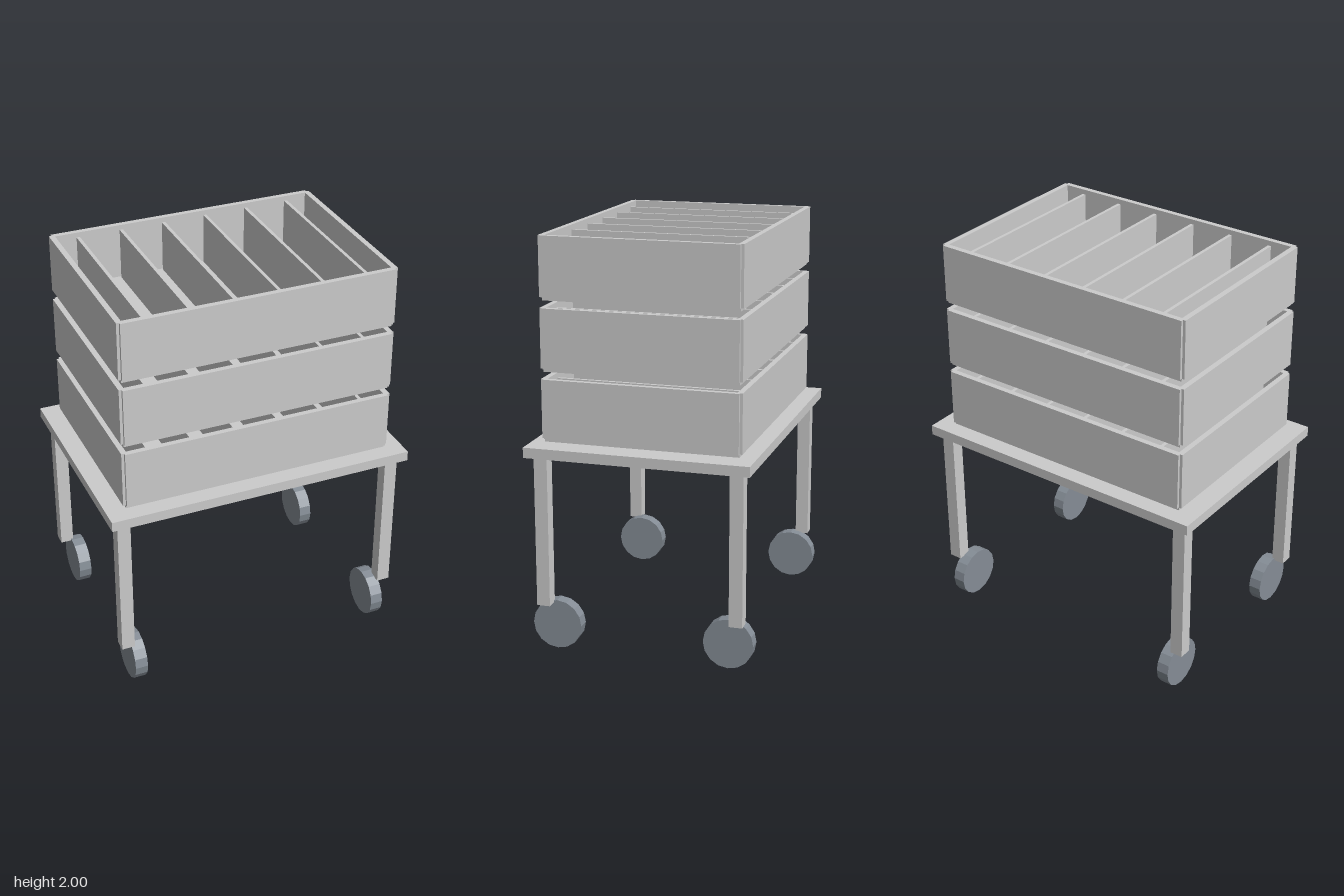
import * as THREE from 'three';

const grey = new THREE.MeshStandardMaterial({ color: 0xcccccc });
const wheelGrey = new THREE.MeshStandardMaterial({ color: 0x858d96, flatShading: true });

function addBox(parent, name, size, position) {
  const mesh = new THREE.Mesh(new THREE.BoxGeometry(...size), grey);
  mesh.name = name;
  mesh.position.set(...position);
  parent.add(mesh);
}

// Open tray with notched corners and upright dividers; y = 0 is its underside
function createTray() {
  const tray = new THREE.Group();
  const wall = 0.027, height = 0.285, wallY = 0.015 + height / 2;
  addBox(tray, 'trayFloor', [1.34, wall, 0.94], [0, wall / 2, 0]);
  for (const s of [-1, 1]) {
    addBox(tray, s > 0 ? 'trayFrontWall' : 'trayBackWall', [1.34, height, wall], [0, wallY, s * 0.47]);
    addBox(tray, s > 0 ? 'trayLeftWall' : 'trayRightWall', [wall, height, 0.94], [s * 0.67, wallY, 0]);
  }
  for (let i = 0; i < 6; i++) {
    addBox(tray, 'divider', [0.017, 0.255, 0.894], [-0.545 + i * 0.218, 0.1525, 0]);
  }
  return tray;
}

export function createModel() {
  const cart = new THREE.Group();
  cart.name = 'trayCart';

  // Table top
  addBox(cart, 'tableTop', [1.532, 0.05, 1.088], [0, 0.995, 0]);

  // Legs with wheels at the four corners
  const wheelGeometry = new THREE.CylinderGeometry(0.122, 0.122, 0.063, 16).rotateZ(Math.PI / 2);
  for (const sx of [-1, 1]) {
    for (const sz of [-1, 1]) {
      addBox(cart, 'leg', [0.065, 0.745, 0.065], [sx * 0.697, 0.6025, sz * 0.474]);
      const wheel = new THREE.Mesh(wheelGeometry, wheelGrey);
      wheel.name = 'wheel';
      wheel.position.set(sx * 0.646, 0.122, sz * 0.425);
      cart.add(wheel);
    }
  }

  // Three stacked trays
  for (let i = 0; i < 3; i++) {
    const tray = createTray();
    tray.name = 'tray';
    tray.position.y = 1.03 + i * 0.335;
    cart.add(tray);
  }
  return cart;
}
